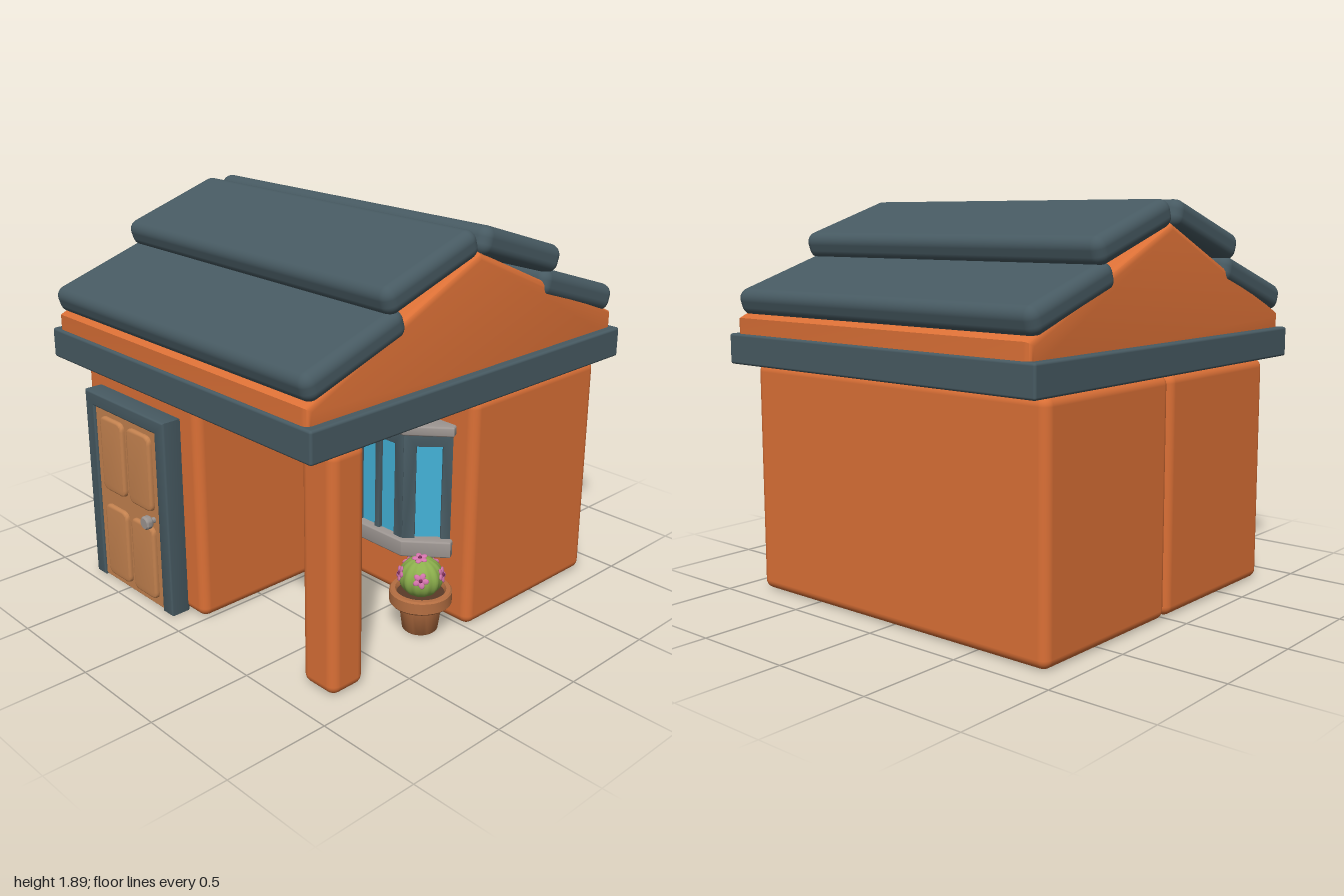
import * as THREE from 'three';
import { toCreasedNormals } from 'three/addons/utils/BufferGeometryUtils.js';
import { RoundedBoxGeometry } from 'three/addons/geometries/RoundedBoxGeometry.js';

const mat = (name, color) => new THREE.MeshStandardMaterial({ name, color });

export function createModel() {
  const orange = mat('orange wall', 0xdb7036);
  const slate = mat('slate', 0x475a62);
  const wood = mat('door wood', 0xc4824f);
  const glass = mat('blue glass', 0x43b2d8);
  const stone = mat('grey stone', 0x9c9591);
  const clay = mat('clay', 0xb56f42);
  const soil = mat('soil', 0x5a3a28);
  const green = mat('cactus green', 0x8bae4c);
  const pink = mat('flower pink', 0xd474ac);
  const plum = mat('flower centre', 0x7c2c58);

  const model = new THREE.Group();
  model.name = 'house';

  const add = (name, geo, material, parent = model) => {
    const m = new THREE.Mesh(geo, material);
    m.name = name;
    parent.add(m);
    return m;
  };
  const group = (name, parent = model) => {
    const g = new THREE.Group();
    g.name = name;
    parent.add(g);
    return g;
  };
  // Rounded box given by its bounds
  const block = (name, material, x0, x1, y0, y1, z0, z1, r, parent) => {
    const geo = new RoundedBoxGeometry(x1 - x0, y1 - y0, z1 - z0, 4, r);
    geo.translate((x0 + x1) / 2, (y0 + y1) / 2, (z0 + z1) / 2);
    return add(name, geo, material, parent);
  };
  const polygon = pts => new THREE.Shape(pts.map(p => new THREE.Vector2(...p)));
  const rect = (x0, x1, y0, y1) => [[x0, y0], [x1, y0], [x1, y1], [x0, y1]];
  // Extrusion of the given total depth; the bevel stays inside the outline
  const extrude = (shape, depth, bevel, segments = 3) => {
    const geo = new THREE.ExtrudeGeometry(shape, {
      depth: depth - 2 * bevel, bevelEnabled: bevel > 0, bevelSize: bevel,
      bevelThickness: bevel, bevelOffset: -bevel, bevelSegments: segments, curveSegments: 6,
    });
    geo.translate(0, 0, bevel);
    return toCreasedNormals(geo, 0.65);
  };

  // Walls and porch post
  block('backWall', orange, -0.89, 0.89, 0, 1.12, -0.88, 0, 0.045);
  block('frontRoom', orange, -0.89, 0, 0, 1.12, 0, 0.85, 0.045);
  block('porchPost', orange, 0.69, 0.89, 0, 1.12, 0.66, 0.85, 0.045);

  // Eaves slab and gable
  block('eavesSlab', slate, -0.93, 0.93, 1.12, 1.265, -1, 1, 0.012);
  const gable = extrude(polygon([[-0.985, 1.2], [0.985, 1.2], [0.985, 1.34], [0, 1.785], [-0.985, 1.34]]), 1.78, 0.03, 4);
  gable.rotateY(-Math.PI / 2);
  gable.translate(0.89, 0, 0);
  add('gable', gable, orange);

  // Overlapping roof panels: [z, y, slope direction]
  for (const [z, y, s] of [[0.288, 1.747, 1], [0.717, 1.49, 1], [-0.278, 1.747, -1], [-0.7, 1.49, -1]]) {
    const panel = add('roofPanel', new RoundedBoxGeometry(1.8, 0.13, 0.57, 5, 0.05), slate);
    panel.position.set(0, y, z);
    panel.rotation.x = s * 0.32;
  }

  // Door with frame, four raised panels and knob
  const door = group('door');
  const jamb = polygon([[-0.77, 0], [-0.7, 0], [-0.7, 0.91], [-0.2, 0.91], [-0.2, 0], [-0.125, 0], [-0.125, 0.98], [-0.77, 0.98]]);
  add('doorFrame', extrude(jamb, 0.105, 0.01), slate, door).position.z = 0.84;
  block('doorLeaf', wood, -0.705, -0.195, 0.004, 0.915, 0.84, 0.932, 0.004, door);
  const w = 0.0925, h = 0.19, c = 0.04;
  const raised = new THREE.Shape();
  raised.moveTo(-w + c, -h).lineTo(w - c, -h).quadraticCurveTo(w, -h, w, -h + c)
    .lineTo(w, h - c).quadraticCurveTo(w, h, w - c, h)
    .lineTo(-w + c, h).quadraticCurveTo(-w, h, -w, h - c)
    .lineTo(-w, -h + c).quadraticCurveTo(-w, -h, -w + c, -h);
  const raisedGeo = extrude(raised, 0.035, 0.012);
  for (const x of [-0.5525, -0.3325])
    for (const y of [0.23, 0.69]) add('doorPanel', raisedGeo, wood, door).position.set(x, y, 0.918);
  const knob = add('doorKnob', new THREE.LatheGeometry(
    [[0, 0], [0.014, 0], [0.014, 0.025], [0.028, 0.026], [0.033, 0.034], [0.033, 0.054], [0.026, 0.062], [0, 0.062]]
      .map(p => new THREE.Vector2(...p)), 24), stone, door);
  knob.geometry = toCreasedNormals(knob.geometry, 0.6);
  knob.rotation.x = Math.PI / 2;
  knob.position.set(-0.25, 0.46, 0.931);

  // Bay window: three framed faces between two ledges
  const bay = group('bayWindow');
  const corners = [[0.11, -0.01], [0.28, 0.155], [0.61, 0.155], [0.78, -0.01]];
  for (let i = 0; i < 3; i++) {
    const [x0, z0] = corners[i], [x1, z1] = corners[i + 1];
    const len = Math.hypot(x1 - x0, z1 - z0);
    const face = group('windowFace', bay);
    face.position.set(x0, 0, z0);
    face.rotation.y = -Math.atan2(z1 - z0, x1 - x0);
    const shape = polygon(rect(0, len, 0.36, 0.95));
    const holes = i === 1 ? [[0.055, 0.15], [0.18, 0.275]] : [[0.06, len - 0.06]];
    for (const [a, b] of holes)
      shape.holes.push(new THREE.Path(rect(a, b, 0.4, 0.87).map(p => new THREE.Vector2(...p))));
    add('windowFrame', extrude(shape, 0.035, 0.005, 2), slate, face).position.z = -0.035;
    for (const [a, b] of holes)
      block('windowPane', glass, a - 0.008, b + 0.008, 0.392, 0.878, -0.028, -0.02, 0.001, face);
  }
  const ledge = polygon([[0.09, 0.03], [0.12, -0.03], [0.77, -0.03], [0.8, 0.03], [0.63, 0.18], [0.26, 0.18]]);
  for (const [name, y0, y1] of [['windowSill', 0.335, 0.415], ['windowHead', 0.935, 0.982]]) {
    const geo = extrude(ledge, y1 - y0, 0.008);
    geo.rotateX(Math.PI / 2);
    geo.scale(1, 1, 1);
    add(name, geo, stone, bay).position.y = y1;
  }

  // Potted cactus
  const plant = group('pottedCactus');
  plant.position.set(0.737, 0, 0.155);
  const potProfile = [[0, 0], [0.075, 0], [0.083, 0.008], [0.101, 0.14], [0.138, 0.14], [0.145, 0.148],
    [0.145, 0.2], [0.138, 0.208], [0.118, 0.208], [0.112, 0.2], [0.11, 0.17]].map(p => new THREE.Vector2(...p));
  add('pot', toCreasedNormals(new THREE.LatheGeometry(potProfile, 32), 0.7), clay, plant);
  const earth = add('soil', new THREE.CircleGeometry(0.112, 32), soil, plant);
  earth.rotation.x = -Math.PI / 2;
  earth.position.y = 0.185;

  // Ribbed body: radius waves around the axis
  const body = new THREE.SphereGeometry(0.1, 60, 20);
  const p = body.attributes.position;
  for (let i = 0; i < p.count; i++) {
    const k = 1 + 0.035 * Math.cos(12 * Math.atan2(p.getZ(i), p.getX(i)));
    p.setXYZ(i, p.getX(i) * k, p.getY(i) * 0.95, p.getZ(i) * k);
  }
  body.computeVertexNormals();
  add('cactusBody', body, green, plant).position.y = 0.268;

  // Five-petalled flowers around the body and on top
  const up = new THREE.Vector3(0, 0, 1);
  const petalGeo = new THREE.SphereGeometry(0.014, 10, 8);
  petalGeo.scale(1.3, 0.95, 0.45);
  const coreGeo = new THREE.SphereGeometry(0.009, 10, 8);
  const flower = dir => {
    const f = group('flower', plant);
    f.position.copy(dir).multiplyScalar(0.102).add(new THREE.Vector3(0, 0.268, 0));
    f.quaternion.setFromUnitVectors(up, dir);
    for (let i = 0; i < 5; i++) {
      const a = i * Math.PI * 0.4;
      const petal = add('petal', petalGeo, pink, f);
      petal.position.set(0.02 * Math.cos(a), 0.02 * Math.sin(a), 0.003);
      petal.rotation.z = a;
    }
    add('flowerCentre', coreGeo, plum, f).position.z = 0.007;
  };
  for (let i = 0; i < 5; i++) {
    const a = -0.42 + i * Math.PI * 0.4;
    flower(new THREE.Vector3(Math.cos(a), 0.28, Math.sin(a)).normalize());
  }
  flower(new THREE.Vector3(0.1, 1, 0.2).normalize());

  return model;
}
